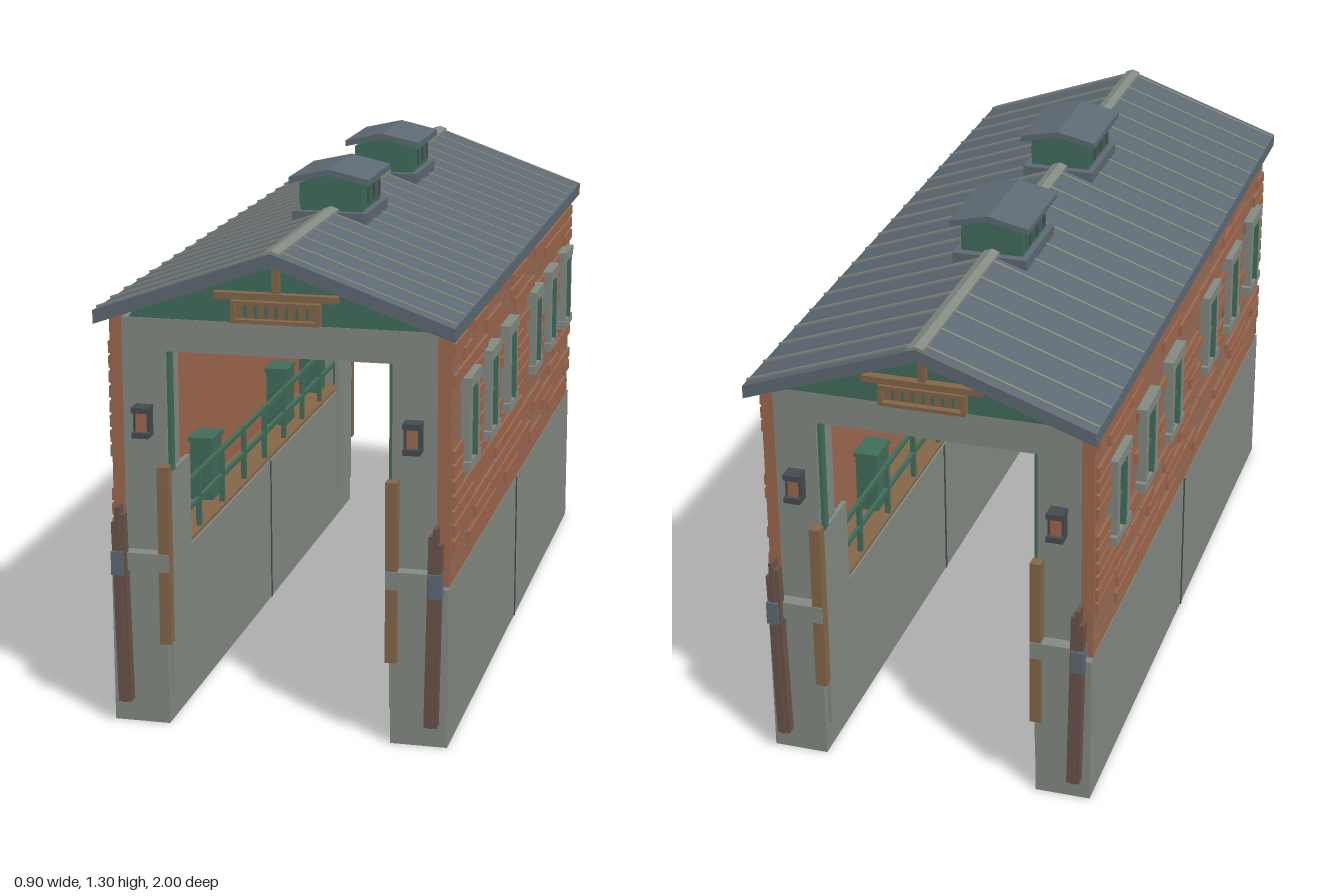
import * as THREE from 'three';
import { mergeGeometries } from 'three/addons/utils/BufferGeometryUtils.js';

const mat = (name, color) => {
  const m = new THREE.MeshStandardMaterial({ color });
  m.name = name;
  return m;
};

export function createModel() {
  const concrete = mat('concrete', 0x858c84);
  const brick = mat('brick', 0xa0694e);
  const slate = mat('slate', 0x5f6b75);
  const green = mat('greenPaint', 0x426e5c);
  const wood = mat('wood', 0x866849);
  const darkWood = mat('darkWood', 0x6b544b);
  const mortar = mat('mortar', 0x7d7068);
  const metal = mat('darkMetal', 0x454c50);
  const glass = mat('glass', 0x74827e);

  const root = new THREE.Group();
  root.name = 'building';
  const group = (name, parent = root) => {
    const g = new THREE.Group();
    g.name = name;
    parent.add(g);
    return g;
  };
  const add = (parent, name, material, geometry) => {
    const m = new THREE.Mesh(geometry, material);
    m.name = name;
    parent.add(m);
    return m;
  };
  // Box given by its size and centre
  const box = (parent, name, material, size, pos) => {
    const m = add(parent, name, material, new THREE.BoxGeometry(...size));
    m.position.set(...pos);
    return m;
  };
  // Outline in x,y extruded along z, centred on z
  const prism = (parent, name, material, pts, depth, z = 0) => {
    const shape = new THREE.Shape(pts.map(p => new THREE.Vector2(...p)));
    const geo = new THREE.ExtrudeGeometry(shape, { depth, bevelEnabled: false });
    geo.translate(0, 0, z - depth / 2);
    return add(parent, name, material, geo);
  };
  const merged = (parent, name, material, list) => add(parent, name, material,
    mergeGeometries(list.map(([w, h, d, x, y, z]) => new THREE.BoxGeometry(w, h, d).translate(x, y, z))));

  let seed = 7;
  const rnd = () => (seed = (seed * 16807) % 2147483647) / 2147483647;

  // Side walls, mirrored left and right
  for (const s of [1, -1]) {
    const wall = group(s > 0 ? 'leftWall' : 'rightWall');
    box(wall, 'concreteBase', concrete, [0.14, 0.4, 1.92], [s * 0.348, 0.2, 0]);
    box(wall, 'baseJoint', metal, [0.004, 0.4, 0.008], [s * 0.4185, 0.2, 0]);
    box(wall, 'innerJoint', metal, [0.004, 0.4, 0.008], [s * 0.278, 0.2, 0]);
    box(wall, 'brickWall', brick, [0.033, 0.63, 1.876], [s * 0.4, 0.715, 0]);
    box(wall, 'walkway', wood, [0.1, 0.01, 1.74], [s * 0.333, 0.404, 0]);

    // Mortar lines and raised bricks
    const lines = [], bricks = [];
    for (let i = 0; i < 16; i++) {
      const y = 0.44 + i * 0.037;
      lines.push([0.002, 0.006, 1.87, s * 0.417, y, 0]);
      if (i === 15) continue;
      let z = -0.93;
      while (z < 0.9) {
        const len = Math.min(0.08 + rnd() * 0.16, 0.93 - z);
        if (rnd() < 0.6) bricks.push([0.012, 0.029, len - 0.006, s * 0.419, y + 0.0185, z + len / 2]);
        z += len;
      }
    }
    merged(wall, 'mortarLines', mortar, lines);
    merged(wall, 'raisedBricks', brick, bricks);

    // Windows
    for (const z of [0.76, 0.482, 0.207, -0.207, -0.482, -0.76]) {
      const w = group('window', wall);
      w.position.z = z;
      box(w, 'pane', glass, [0.016, 0.19, 0.1], [s * 0.423, 0.77, 0]);
      box(w, 'lintel', concrete, [0.03, 0.028, 0.142], [s * 0.429, 0.873, 0]);
      box(w, 'sill', concrete, [0.03, 0.024, 0.142], [s * 0.429, 0.667, 0]);
      for (const k of [1, -1]) {
        box(w, 'jamb', concrete, [0.026, 0.182, 0.022], [s * 0.429, 0.769, k * 0.047]);
        box(w, 'sash', green, [0.022, 0.17, 0.006], [s * 0.43, 0.77, k * 0.033]);
        box(w, 'darkGap', metal, [0.004, 0.09, 0.009], [s * 0.431, 0.79, k * 0.016]);
      }
      box(w, 'mullion', green, [0.036, 0.175, 0.01], [s * 0.43, 0.769, 0]);
      box(w, 'crossBar', green, [0.024, 0.01, 0.075], [s * 0.43, 0.772, 0]);
    }

    // Walkway railing and cabinets
    const rail = group('railing', wall);
    for (const y of [0.48, 0.55]) box(rail, 'rail', green, [0.01, 0.012, 1.72], [s * 0.295, y, 0]);
    for (let i = 0; i < 9; i++) {
      box(rail, 'railPost', green, [0.012, 0.155, 0.014], [s * 0.295, 0.48, -0.84 + i * 0.21]);
    }
    for (const z of [0.76, 0.38, -0.38, -0.76]) {
      const c = group('cabinet', wall);
      box(c, 'cabinetBody', green, [0.06, 0.16, 0.09], [s * 0.35, 0.49, z]);
      box(c, 'cabinetTop', green, [0.068, 0.012, 0.1], [s * 0.35, 0.574, z]);
    }
  }

  // Portals, mirrored front and back
  for (const e of [1, -1]) {
    const portal = group(e > 0 ? 'frontPortal' : 'backPortal');
    box(portal, 'lintelBeam', concrete, [0.768, 0.08, 0.1], [0, 0.98, e * 0.891]);
    prism(portal, 'gable', green, [[-0.37, 1.018], [0.37, 1.018], [0.33, 1.065], [0, 1.185], [-0.33, 1.065]], 0.03, e * 0.925);
    box(portal, 'gableBeam', wood, [0.3, 0.016, 0.025], [0, 1.088, e * 0.95]);
    box(portal, 'gablePost', wood, [0.018, 0.085, 0.02], [0, 1.125, e * 0.948]);

    // Slatted panel below the gable beam
    box(portal, 'panelBack', wood, [0.2, 0.045, 0.008], [0, 1.048, e * 0.943]);
    for (const y of [1.028, 1.072]) box(portal, 'panelRail', wood, [0.215, 0.009, 0.025], [0, y, e * 0.952]);
    for (const x of [-0.103, 0.103]) box(portal, 'panelStile', wood, [0.01, 0.05, 0.025], [x, 1.05, e * 0.952]);
    for (let i = 0; i < 7; i++) {
      box(portal, 'panelSlat', green, [0.006, 0.028, 0.006], [-0.075 + i * 0.025, 1.05, e * 0.949]);
    }

    for (const s of [1, -1]) {
      box(portal, 'pier', concrete, [0.108, 0.62, 0.1], [s * 0.331, 0.71, e * 0.891]);
      box(portal, 'doorTrack', green, [0.014, 0.34, 0.025], [s * 0.275, 0.81, e * 0.92]);
      box(portal, 'innerPanel', concrete, [0.012, 0.56, 0.16], [s * 0.276, 0.36, e * 0.86]);
      box(portal, 'rubbingBoard', wood, [0.028, 0.45, 0.03], [s * 0.281, 0.435, e * 0.958]);
      box(portal, 'bracket', concrete, [0.135, 0.045, 0.035], [s * 0.335, 0.418, e * 0.958]);
      box(portal, 'bracketClamp', slate, [0.03, 0.06, 0.035], [s * 0.392, 0.418, e * 0.982]);

      // Leaning timber fender
      const fender = group('fender', portal);
      fender.position.set(s * 0.387, 0.31, e * 0.977);
      fender.rotation.z = -s * 0.02;
      [[-0.011, 0.48], [0, 0.5], [0.011, 0.46]].forEach(([x, h], i) =>
        box(fender, 'fenderTimber', darkWood, [0.0105, h, i === 1 ? 0.036 : 0.028], [s * x, h / 2 - 0.25, 0]));

      // Wall lantern
      const lamp = group('lantern', portal);
      lamp.position.set(s * 0.331, 0.77, e * 0.94);
      box(lamp, 'lampBody', brick, [0.026, 0.05, 0.034], [0, 0, e * 0.017]);
      for (const y of [0.031, -0.031]) box(lamp, 'lampCap', metal, [0.042, 0.014, 0.044], [0, y, e * 0.022]);
      for (const x of [0.017, -0.017]) box(lamp, 'lampSide', metal, [0.007, 0.06, 0.03], [x, 0, e * 0.015]);
    }
  }

  // Main roof with standing seams
  const roof = group('roof');
  prism(roof, 'roofSlab', slate,
    [[0, 1.2], [-0.436, 1.045], [-0.436, 1.012], [0, 1.167], [0.436, 1.012], [0.436, 1.045]], 2);
  const slope = Math.atan2(0.155, 0.436);
  for (const s of [1, -1]) {
    for (let i = 0; i < 20; i++) {
      const seam = box(roof, 'roofSeam', concrete, [0.46, 0.008, 0.007], [s * 0.218, 1.124, -0.97 + i * 0.1021]);
      seam.rotation.z = -s * slope;
    }
  }
  prism(roof, 'ridgeCap', concrete,
    [[-0.02, 1.19], [0.02, 1.19], [0.02, 1.2], [0, 1.207], [-0.02, 1.2]], 1.996);

  // Ridge ventilators
  for (const z of [0.307, -0.307]) {
    const v = group('ventilator');
    v.position.z = z;
    box(v, 'ventBase', slate, [0.194, 0.03, 0.245], [0, 1.179, 0]);
    prism(v, 'ventBody', green, [[-0.08, 1.18], [0.08, 1.18], [0.08, 1.265], [0, 1.288], [-0.08, 1.265]], 0.2);
    prism(v, 'ventRoof', slate,
      [[0, 1.305], [-0.103, 1.282], [-0.103, 1.266], [0, 1.289], [0.103, 1.266], [0.103, 1.282]], 0.26);
    for (const s of [1, -1]) {
      for (const dz of [-0.062, 0, 0.062]) {
        box(v, 'louvreFrame', green, [0.012, 0.056, 0.04], [s * 0.081, 1.232, dz]);
        box(v, 'louvre', metal, [0.003, 0.042, 0.022], [s * 0.087, 1.232, dz]);
      }
    }
  }
  return root;
}
